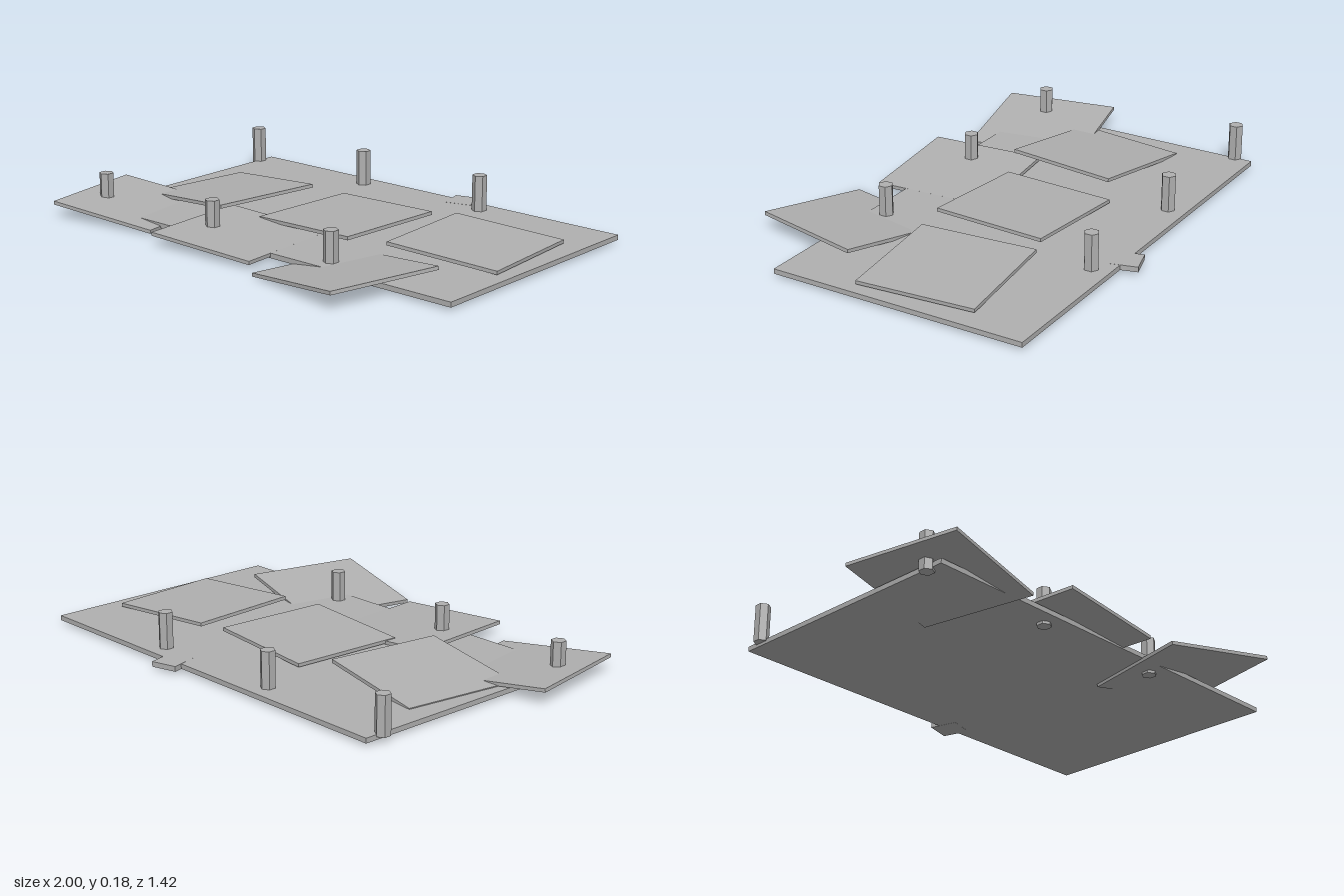
import * as THREE from 'three';

export function createModel() {
  const group = new THREE.Group();
  const grey = new THREE.MeshStandardMaterial({ color: 0xb0b0b0, flatShading: true });
  grey.name = 'plain grey';

  const add = (name, geometry, x, y, z, turn = 0, tilt = 0) => {
    const mesh = new THREE.Mesh(geometry, grey);
    mesh.name = name;
    mesh.position.set(x, y, z);
    mesh.rotation.set(0, turn, tilt); // tilt about own z, then turn about y
    group.add(mesh);
  };

  // Base board and the small tab at its back edge
  add('baseBoard', new THREE.BoxGeometry(1.84, 0.02, 1.07), 0.08, 0.022, -0.113);
  add('backTab', new THREE.BoxGeometry(0.11, 0.021, 0.118), 0.25, 0.022, -0.643, 0.27);

  // Loose square tiles: x, y, z, turn, tilt
  const tile = new THREE.BoxGeometry(0.487, 0.0145, 0.487);
  [
    [-0.72, 0.0375, 0.293, 0.177, -0.1],
    [-0.105, 0.037, 0.325, 0.072, -0.05],
    [0.51, 0.0375, 0.4175, -0.22, 0.125],
    [-0.5375, 0.052, -0.0725, -0.133, 0.095],
    [0.0775, 0.053, -0.0935, -0.056, 0.04],
    [0.69, 0.056, -0.1375, 0.08, -0.045],
  ].forEach((t, i) => add(`tile${i + 1}`, tile, ...t));

  // Six-sided posts, the back row standing higher
  const post = new THREE.CylinderGeometry(0.03, 0.03, 0.156, 6);
  for (const x of [-0.842, -0.23, 0.385]) {
    add('backPost', post, x, 0.102, -0.57);
    add('frontPost', post, x, 0.079, 0.35);
  }
  return group;
}
